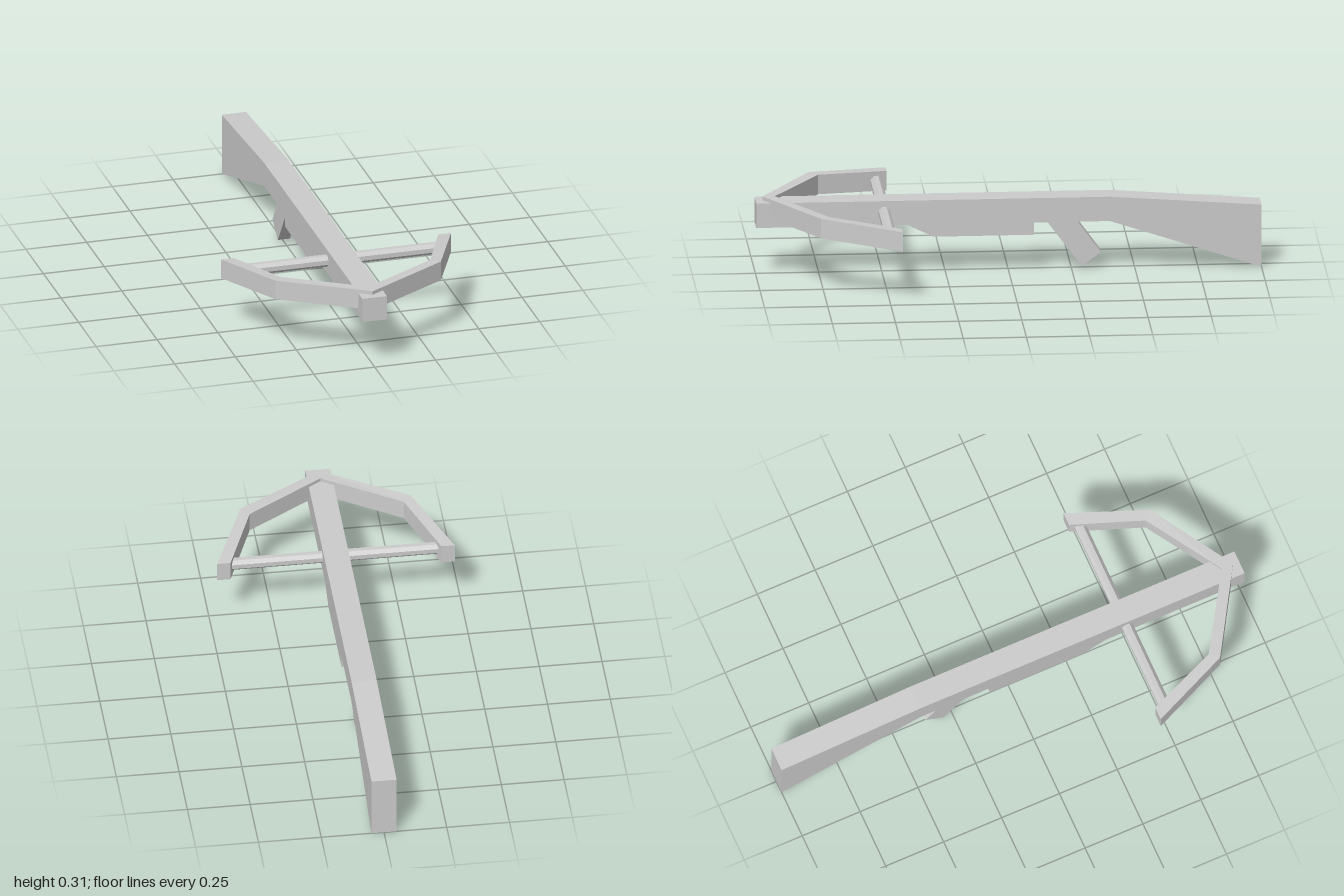
import * as THREE from 'three';

const material = new THREE.MeshStandardMaterial({ color: 0xcccccc, flatShading: true });

function extrude(points, depth) {
  const shape = new THREE.Shape(points.map(([a, b]) => new THREE.Vector2(a, b)));
  return new THREE.ExtrudeGeometry(shape, { depth, bevelEnabled: false });
}

// Side profile given as [z, y], extruded across x and centred
function sideProfile(points, width) {
  return extrude(points, width).translate(0, 0, -width / 2).rotateY(-Math.PI / 2);
}

export function createModel() {
  const group = new THREE.Group();
  const add = (name, geometry) => {
    const mesh = new THREE.Mesh(geometry, material);
    mesh.name = name;
    group.add(mesh);
  };

  // Stock: straight rail, fore grip below and flared butt
  add('stock', sideProfile([
    [1, 0.2], [1, 0.3], [-0.4, 0.3], [-1, 0.255], [-1, 0], [-0.4, 0.2],
    [-0.1, 0.2], [-0.1, 0.15], [0.3, 0.15], [0.4, 0.2],
  ], 0.1));

  // Trigger lever, slanting back, its top sunk into the stock
  add('trigger', sideProfile([
    [-0.135, 0.22], [-0.255, 0.22], [-0.367, 0.066], [-0.29, 0.01],
  ], 0.05));

  // Bow: mirrored plan outline as [x, z], with the outer limbs drooping
  const outer = [[0.34, 0.765], [0.473, 0.45]];
  const inner = [[0.42, 0.45], [0.307, 0.73]];
  const mirror = (pts) => pts.map(([x, z]) => [-x, z]).reverse();
  const bow = extrude([
    [0, 0.972], ...outer, ...inner, [0, 0.923], ...mirror(inner), ...mirror(outer),
  ], 0.08).rotateX(Math.PI / 2).translate(0, 0.315, 0);
  const p = bow.attributes.position;
  for (let i = 0; i < p.count; i++) {
    const droop = Math.max(0, 0.765 - p.getZ(i)) * 0.078;
    p.setY(i, p.getY(i) - droop);
  }
  bow.computeVertexNormals();
  add('bow', bow);

  // Bowstring: eight-sided bar with flat top
  add('bowstring', new THREE.CylinderGeometry(0.0245, 0.0245, 0.83, 8)
    .rotateY(Math.PI / 8).rotateZ(Math.PI / 2).translate(0, 0.253, 0.493));

  return group;
}
